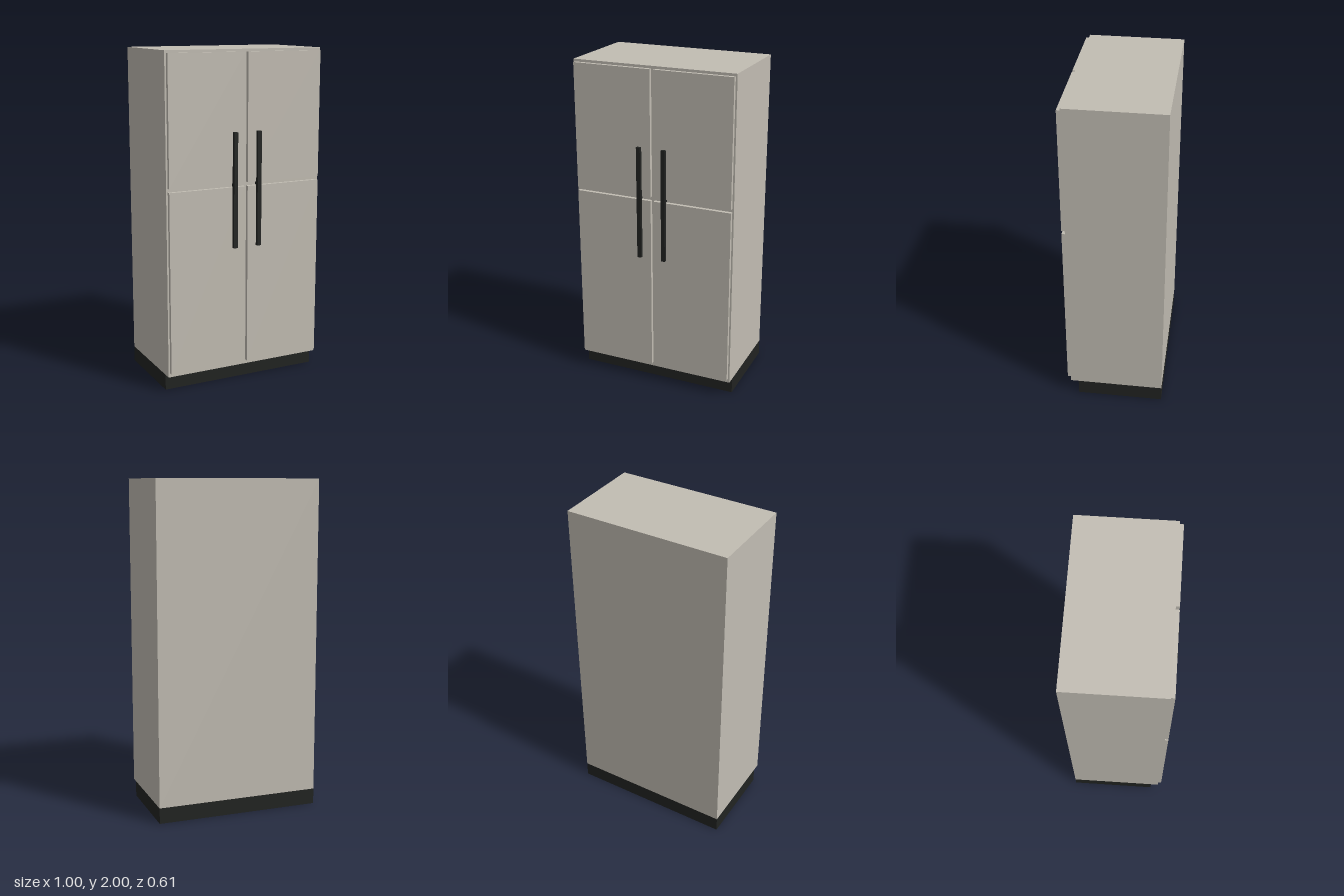
import * as THREE from 'three';

const enamel = new THREE.MeshStandardMaterial({ color: 0xc2bdb3 });
enamel.name = 'warm grey enamel';
const black = new THREE.MeshStandardMaterial({ color: 0x212321 });
black.name = 'black trim';

// Box given by its lower and upper limits on each axis
function box(name, material, [x0, x1], [y0, y1], [z0, z1]) {
  const mesh = new THREE.Mesh(new THREE.BoxGeometry(x1 - x0, y1 - y0, z1 - z0), material);
  mesh.position.set((x0 + x1) / 2, (y0 + y1) / 2, (z0 + z1) / 2);
  mesh.name = name;
  return mesh;
}

export function createModel() {
  const fridge = new THREE.Group();
  fridge.name = 'refrigerator';
  const back = -0.307, front = 0.265, doorFront = 0.287, handleFront = 0.307;

  // Cabinet on a recessed plinth
  fridge.add(box('cabinet', enamel, [-0.5, 0.5], [0.095, 2], [back, front]));
  fridge.add(box('plinth', black, [-0.5, 0.5], [0, 0.095], [back, 0.217]));

  // Two doors, a long handle and its post on each side
  for (const [side, s] of [['left', 1], ['right', -1]]) {
    const span = (a, b) => (s > 0 ? [a, b] : [-b, -a]);
    fridge.add(box(side + 'UpperDoor', enamel, span(0.009, 0.49), [1.23, 1.985], [front, doorFront]));
    fridge.add(box(side + 'LowerDoor', enamel, span(0.009, 0.49), [0.12, 1.208], [front, doorFront]));
    fridge.add(box(side + 'Handle', black, span(0.065, 0.09), [0.845, 1.53], [doorFront, handleFront]));
    fridge.add(box(side + 'HandlePost', black, span(0.07, 0.085), [1.21, 1.228], [front, doorFront]));
  }
  return fridge;
}
